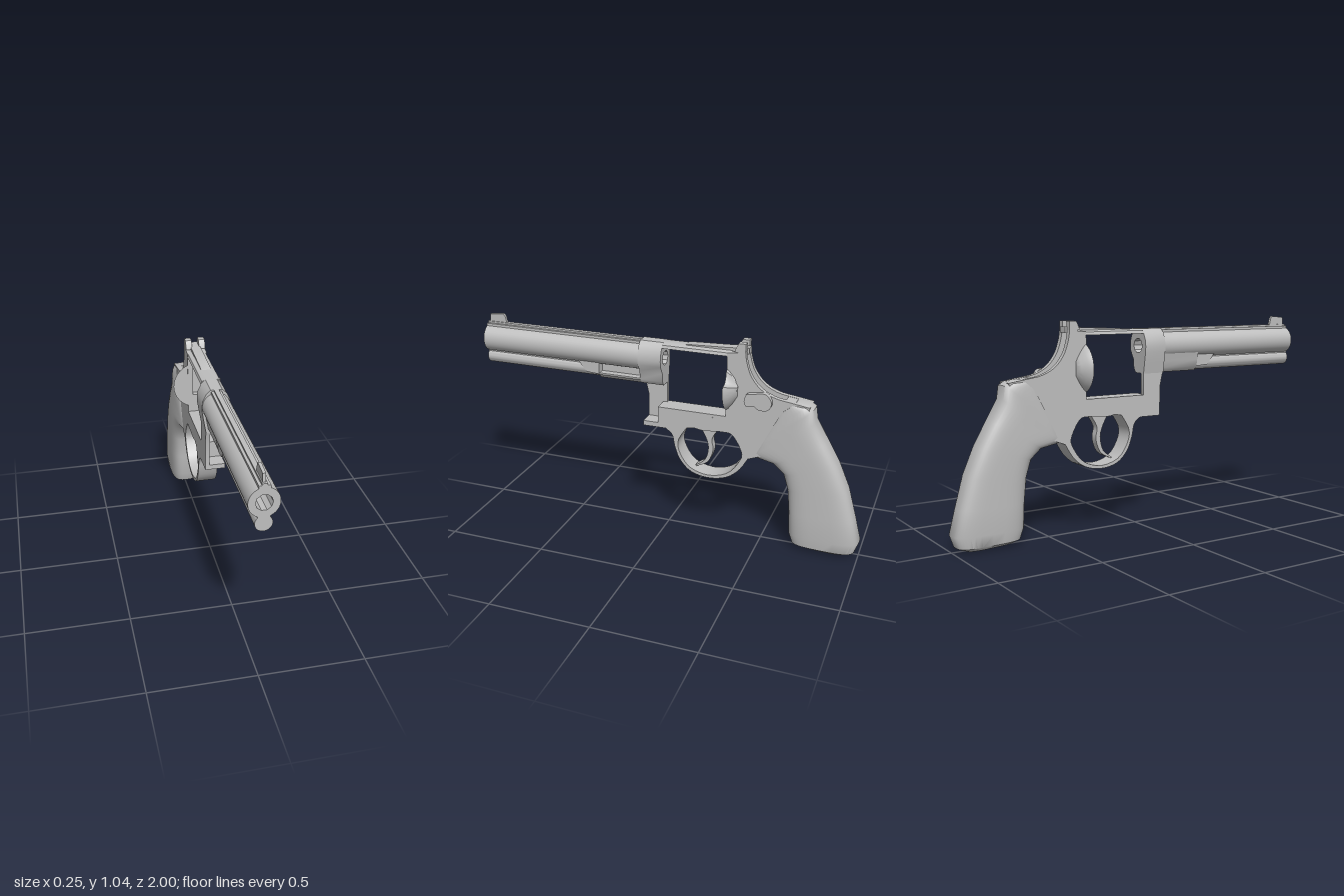
import * as THREE from 'three';
import { toCreasedNormals } from 'three/addons/utils/BufferGeometryUtils.js';

const metal = new THREE.MeshStandardMaterial({ color: 0xbebebe });
metal.name = 'light steel grey';
metal.side = THREE.DoubleSide;

const vec = (pts) => pts.map(([a, b]) => new THREE.Vector2(a, b));
const ring = (cx, cy, rx, ry = rx, n = 32) =>
  Array.from({ length: n }, (_, i) => {
    const t = (i / n) * Math.PI * 2;
    return [cx + rx * Math.cos(t), cy + ry * Math.sin(t)];
  });
const smoothLine = (pts, n) =>
  new THREE.SplineCurve(vec(pts)).getPoints(n).map((p) => [p.x, p.y]);

export function createModel() {
  const group = new THREE.Group();

  const add = (name, geo, crease = 0.6) => {
    const mesh = new THREE.Mesh(toCreasedNormals(geo, crease), metal);
    mesh.name = name;
    group.add(mesh);
  };
  const extrude = (pts, depth, hole, steps = 1) => {
    const shape = new THREE.Shape(vec(pts));
    if (hole) shape.holes.push(new THREE.Path(vec(hole)));
    return new THREE.ExtrudeGeometry(shape, { depth, steps, bevelEnabled: false });
  };
  // Side outline in (z, y), running from x0 to x1
  const side = (name, pts, x0, x1, hole) =>
    add(name, extrude(pts, x1 - x0, hole).rotateY(-Math.PI / 2).translate(x1, 0, 0));
  // Cross-section in (x, y), running from z0 to z1
  const along = (name, pts, z0, z1, hole) =>
    add(name, extrude(pts, z1 - z0, hole).translate(0, 0, z0));
  const box = (name, x0, x1, y0, y1, z0, z1) =>
    add(name, new THREE.BoxGeometry(x1 - x0, y1 - y0, z1 - z0)
      .translate((x0 + x1) / 2, (y0 + y1) / 2, (z0 + z1) / 2));

  // Barrel with rib, under-lug and front sight
  const bore = ring(0, 0.91, 0.037, 0.037, 10);
  along('barrel', ring(0, 0.91, 0.068, 0.07, 40), 0.14, 1, bore);
  box('barrelRib', -0.025, 0.025, 0.965, 0.988, 0.14, 1);
  box('ribTop', -0.012, 0.012, 0.985, 0.997, 0.14, 1);
  along('underLug', ring(0, 0.813, 0.038), 0.36, 1);
  box('lugNeck', -0.027, 0.027, 0.82, 0.855, 0.36, 1);
  along('lugShroud', [[0.02, 0.772], [0.038, 0.792], [0.038, 0.8], [0, 0.8], [0, 0.86],
    [-0.055, 0.875], [-0.046, 0.83], [-0.04, 0.795], [-0.02, 0.772]], 0.14, 0.36);
  side('shroudNose', [[0.36, 0.795], [0.43, 0.8], [0.48, 0.862], [0.36, 0.87]], -0.042, 0.042);
  side('frontSight', [[0.89, 0.99], [0.99, 0.99], [0.985, 1.035], [0.91, 1.042], [0.9, 1.03]], -0.007, 0.007);

  // Barrel seat and the front post on one side
  along('barrelSeat', [[0.022, 0.772], [0.038, 0.795], [0.042, 0.84], [0.066, 0.88], [0.07, 0.91],
    [0.066, 0.94], [0.05, 0.975], [0.028, 0.996], [-0.028, 0.996], [-0.05, 0.975], [-0.066, 0.94],
    [-0.07, 0.91], [-0.068, 0.88], [-0.06, 0.83], [-0.05, 0.772]], 0.02, 0.14, bore);
  side('frontPost', [[0.02, 0.66], [0.04, 0.58], [0.12, 0.58], [0.12, 0.7], [0.138, 0.78], [0.02, 0.78]],
    -0.05, -0.028);

  // Lower frame with trigger guard
  const guard = smoothLine([[-0.43, 0.455], [-0.385, 0.385], [-0.32, 0.335], [-0.23, 0.317],
    [-0.14, 0.335], [-0.08, 0.39], [-0.05, 0.46], [-0.035, 0.525], [0, 0.555]], 28);
  const opening = smoothLine([[-0.11, 0.572], [-0.068, 0.5], [-0.075, 0.435], [-0.13, 0.36], [-0.23, 0.332],
    [-0.33, 0.362], [-0.39, 0.44], [-0.395, 0.49], [-0.35, 0.568], [-0.3, 0.58], [-0.2, 0.572], [-0.15, 0.58]], 36);
  side('lowerFrame', [...guard, [0.12, 0.555], [0.12, 0.58], [0.04, 0.58], [0.04, 0.665],
    [-0.31, 0.665], [-0.31, 0.69], [-0.62, 0.69], [-0.55, 0.5]], -0.05, 0.05, opening);

  // Trigger
  side('trigger', [...smoothLine([[-0.17, 0.58], [-0.2, 0.53], [-0.217, 0.47], [-0.2, 0.4], [-0.15, 0.362]], 12),
    ...smoothLine([[-0.155, 0.357], [-0.215, 0.39], [-0.242, 0.46], [-0.235, 0.52], [-0.27, 0.58]], 12)],
  -0.02, 0.02);

  // Top strap and rear sight
  along('topStrap', [[-0.05, 0.973], [0.05, 0.973], [0.045, 0.988], [0.025, 0.996],
    [-0.025, 0.996], [-0.045, 0.988]], -0.33, 0.02);
  side('sightBase', [[-0.08, 0.99], [-0.41, 0.985], [-0.41, 1.015], [-0.3, 1.008], [-0.1, 1.0]], -0.025, 0.025);
  for (const x0 of [-0.05, 0.018]) {
    side('rearSight', [[-0.345, 1], [-0.4, 0.99], [-0.4, 1.042], [-0.365, 1.042], [-0.355, 1.025]], x0, x0 + 0.032);
  }

  // Rear frame: two cheeks with a hammer slot between them
  const rearCurve = smoothLine([[-0.4, 1.0], [-0.408, 0.95], [-0.432, 0.885], [-0.48, 0.828],
    [-0.55, 0.793], [-0.64, 0.778], [-0.72, 0.766]], 20);
  const cheek = [[-0.31, 0.69], [-0.31, 0.99], ...rearCurve, [-0.7, 0.69]];
  side('rearCheek', cheek, -0.05, -0.024);
  side('rearCheek', cheek, 0.024, 0.05);
  side('slotCore', [[-0.31, 0.69], [-0.31, 0.76], [-0.34, 0.76], [-0.34, 0.975], [-0.37, 0.97], [-0.38, 0.9],
    [-0.41, 0.83], [-0.46, 0.785], [-0.53, 0.755], [-0.6, 0.75], [-0.6, 0.782], [-0.64, 0.777],
    [-0.72, 0.765], [-0.7, 0.69]], -0.024, 0.024);

  // Domed recoil shield, one half with a loading notch
  const arc = (from, to) => Array.from({ length: 21 }, (_, i) => {
    const t = from + ((to - from) * i) / 20;
    return [0.125 * Math.cos(t), 0.815 + 0.125 * Math.sin(t)];
  });
  const halves = {
    shieldLeft: [...arc(-1.33, 0.22), [0.1, 0.843], [0.082, 0.853], [0.07, 0.875], [0.065, 0.9], [0.03, 0.92]],
    shieldRight: arc(1.81, 4.47),
  };
  for (const [name, pts] of Object.entries(halves)) {
    const geo = extrude(pts, 0.055, null, 5);
    const p = geo.attributes.position;
    const x0 = name === 'shieldLeft' ? 0.03 : -0.03;
    for (let i = 0; i < p.count; i++) {
      const k = 1 - 0.62 * Math.pow(p.getZ(i) / 0.055, 1.3);
      p.setXYZ(i, x0 + (p.getX(i) - x0) * k, 0.815 + (p.getY(i) - 0.815) * k, -0.312 - p.getZ(i));
    }
    // Mirroring in z reverses the faces, so swap two corners of each
    const order = [];
    for (let i = 0; i < p.count; i += 3) order.push(i, i + 2, i + 1);
    geo.setIndex(order);
    add(name, geo, 0.7);
  }

  // Release latch and frame pin
  side('releaseLatch', smoothLine([[-0.405, 0.765], [-0.415, 0.8], [-0.45, 0.808], [-0.51, 0.815], [-0.54, 0.775],
    [-0.525, 0.735], [-0.48, 0.73], [-0.455, 0.745], [-0.42, 0.74], [-0.408, 0.755]], 30), 0.045, 0.074);
  side('framePin', ring(-0.24, 0.645, 0.008, 0.008, 12), 0.045, 0.053);

  // Grip lofted through tilted sections: front z, y, back z, y, half width at front and back
  const sections = [
    [-0.70, 0.012, -0.93, 0.002, 0.045, 0.045], [-0.665, 0.028, -0.98, 0.022, 0.07, 0.07],
    [-0.647, 0.08, -1.0, 0.08, 0.077, 0.077], [-0.642, 0.2, -0.968, 0.2, 0.077, 0.077],
    [-0.63, 0.32, -0.925, 0.35, 0.077, 0.077], [-0.605, 0.4, -0.868, 0.48, 0.077, 0.077],
    [-0.55, 0.445, -0.805, 0.59, 0.073, 0.077], [-0.43, 0.463, -0.748, 0.69, 0.054, 0.079],
    [-0.465, 0.53, -0.738, 0.755, 0.052, 0.077], [-0.52, 0.63, -0.71, 0.772, 0.052, 0.07],
    [-0.57, 0.71, -0.65, 0.778, 0.051, 0.055],
  ];
  const n = 40;
  const pos = [];
  const idx = [];
  const pw = (v) => Math.sign(v) * Math.pow(Math.abs(v), 0.6);
  sections.forEach(([fz, fy, bz, by, wf, wb], r) => {
    for (let i = 0; i < n; i++) {
      const t = (i / n) * Math.PI * 2;
      const u = pw(Math.cos(t));
      const w = (wf + wb) / 2 + ((wf - wb) / 2) * u;
      pos.push(w * pw(Math.sin(t)), (fy + by) / 2 + ((fy - by) / 2) * u, (fz + bz) / 2 + ((fz - bz) / 2) * u);
      const j = (i + 1) % n;
      const a = r * n;
      if (r < sections.length - 1) idx.push(a + i, a + j, a + n + j, a + i, a + n + j, a + n + i);
    }
  });
  const last = (sections.length - 1) * n;
  for (let i = 1; i < n - 1; i++) idx.push(0, i + 1, i, last, last + i, last + i + 1);
  const grip = new THREE.BufferGeometry();
  grip.setAttribute('position', new THREE.Float32BufferAttribute(pos, 3));
  grip.setIndex(idx);
  add('grip', grip, 0.8);

  return group;
}
